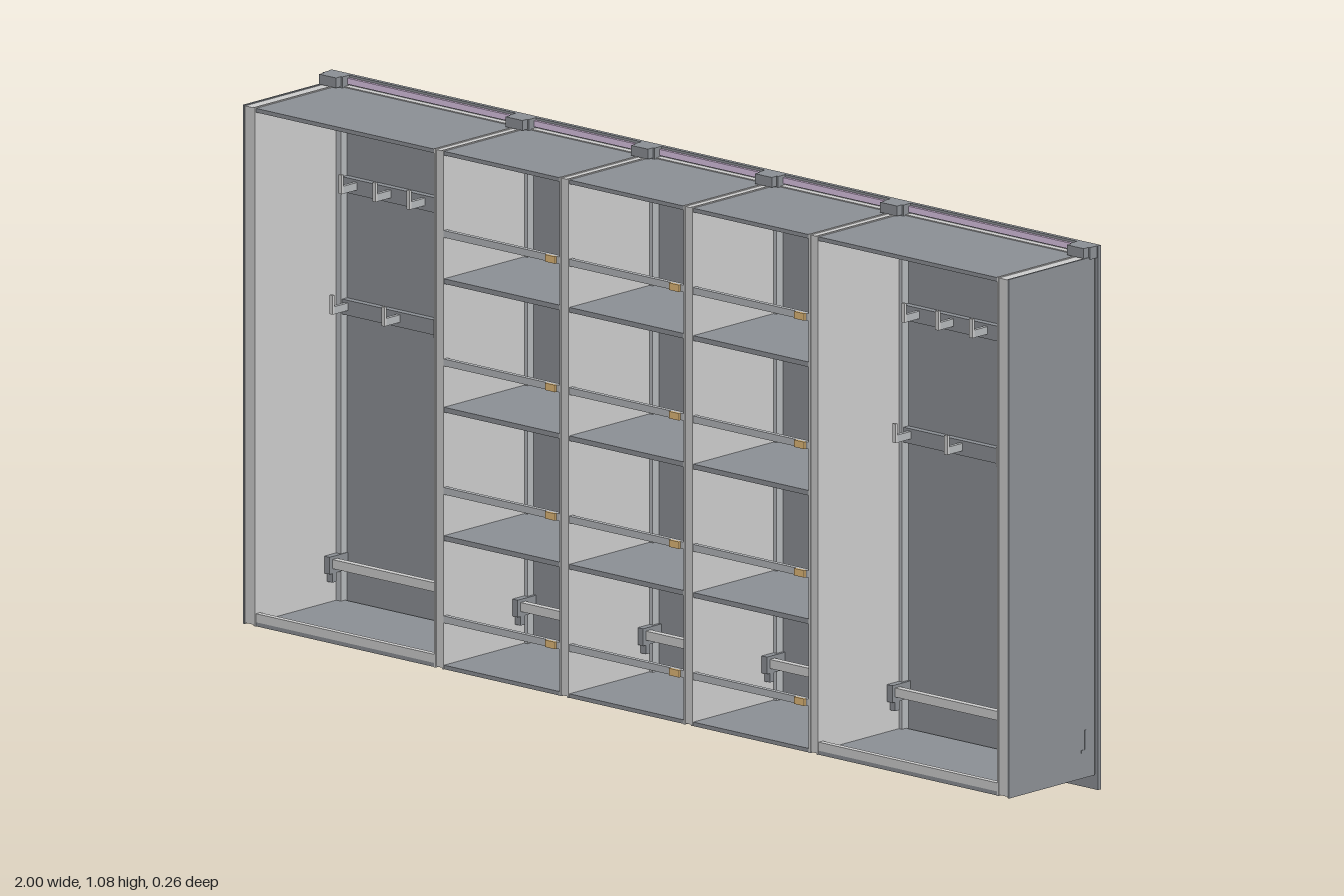
import * as THREE from 'three';

export function createModel() {
  const root = new THREE.Group();
  const paint = (color) => new THREE.MeshStandardMaterial({ color });
  const panel = paint(0x8b8f94);
  const liner = paint(0xe0e0e0);
  const metal = paint(0xb4b7ba);
  const bright = paint(0xf2f2f2);
  const tan = paint(0xe0b878);
  const lilac = paint(0xdcc4e4);

  // Box given by its min/max extents on each axis
  function box(name, x0, x1, y0, y1, z0, z1, material, parent = root) {
    const mesh = new THREE.Mesh(new THREE.BoxGeometry(x1 - x0, y1 - y0, z1 - z0), material);
    mesh.position.set((x0 + x1) / 2, (y0 + y1) / 2, (z0 + z1) / 2);
    mesh.name = name;
    parent.add(mesh);
  }

  function group(name) {
    const g = new THREE.Group();
    g.name = name;
    root.add(g);
    return g;
  }

  const BACK = -0.122, CARCASS = -0.116, FRONT = 0.127, BOTTOM = 0.03, TOP = 1.06;
  const uprights = [-0.98, -0.487, -0.161, 0.161, 0.487, 0.98];

  // Wall panel with a top rail and a light strip above it
  box('wallPanel', -1, 1, 0, 1.08, -0.131, BACK, panel);
  box('topRail', -0.97, 0.97, 1.05, 1.06, BACK, -0.108, bright);
  box('lightStrip', -0.97, 0.97, 1.063, 1.075, BACK, -0.116, lilac);

  // Uprights: core between two skins, plus a wall post with a cap
  uprights.forEach((x, i) => {
    const upright = group('upright');
    const outer = i === 0 || i === 5;
    const half = outer ? 0.016 : 0.012, skin = 0.004;
    box('uprightCore', x - half + skin, x + half - skin, BOTTOM + 0.002, TOP - 0.002, CARCASS, FRONT - 0.002, liner, upright);
    for (const s of [-1, 1]) {
      const xs = x + s * (half - skin / 2);
      const outside = outer && s === Math.sign(x);
      box('uprightSkin', xs - skin / 2, xs + skin / 2, BOTTOM, TOP, CARCASS, FRONT, outside ? panel : liner, upright);
      // Bracket end showing on the outer face
      if (outside) {
        const xo = x + s * half;
        box('bracketEnd', xo - 0.001, xo + 0.001, 0.08, 0.125, -0.094, -0.088, panel, upright);
        box('bracketEnd', xo - 0.001, xo + 0.001, 0.08, 0.086, -0.088, -0.078, panel, upright);
      }
    }
    const px = THREE.MathUtils.clamp(x, -0.972, 0.972);
    box('wallPost', px - 0.02, px + 0.02, BOTTOM, TOP, BACK, -0.104, metal, upright);
    box('postCap', px - 0.026, px + 0.026, 1.056, 1.08, BACK, -0.102, panel, upright);
    box('capLip', px - 0.022, px + 0.022, 1.06, 1.08, -0.102, -0.088, panel, upright);
  });

  // Wall rail spanning a bay, held by an L bracket at both ends
  function bottomRail(x0, x1) {
    const rail = group('bottomRail');
    box('railBar', x0, x1, 0.108, 0.126, -0.092, -0.078, bright, rail);
    for (const [x, s] of [[x0, 1], [x1, -1]]) {
      const xa = Math.min(x, x + s * 0.014), xb = Math.max(x, x + s * 0.014);
      box('bracketPlate', xa, xb, 0.098, 0.132, BACK, -0.07, panel, rail);
      box('bracketFoot', xa, xb, 0.08, 0.098, -0.09, -0.078, panel, rail);
    }
  }

  // Rail with upright hooks
  function hookRail(x0, x1, y, hooks) {
    const rail = group('hookRail');
    box('railBar', x0, x1, y, y + 0.03, BACK, -0.108, panel, rail);
    for (const t of hooks) {
      const x = x0 + (x1 - x0) * t;
      box('hookArm', x - 0.004, x + 0.004, y + 0.01, y + 0.025, -0.108, -0.07, metal, rail);
      box('hookTip', x - 0.004, x + 0.004, y + 0.01, y + 0.048, -0.07, -0.064, bright, rail);
    }
  }

  // Bays between neighbouring uprights
  for (let i = 0; i < 5; i++) {
    const x0 = uprights[i] + (i === 0 ? 0.016 : 0.012);
    const x1 = uprights[i + 1] - (i === 4 ? 0.016 : 0.012);
    box('topPanel', x0, x1, 1.05, 1.058, -0.108, FRONT - 0.002, panel);
    box('floorPanel', x0, x1, BOTTOM, 0.038, CARCASS, FRONT - 0.002, panel);
    bottomRail(x0, x1);

    if (i === 0 || i === 4) {
      // Wardrobe bays
      box('frontSill', x0, x1, 0.038, 0.055, 0.113, FRONT - 0.002, bright);
      hookRail(x0, x1, 0.85, [0.1, 0.29, 0.48, 0.68, 0.88]);
      hookRail(x0, x1, 0.607, [0.05, 0.34, 0.63, 0.93]);
    } else {
      // Shelf bays: each shelf has a front retaining bar with a tab at its end
      for (let k = 0; k < 4; k++) {
        const y = 0.035 + k * 0.255;
        if (k > 0) box('shelf', x0, x1, y - 0.005, y + 0.005, CARCASS, FRONT - 0.002, panel);
        box('retainingBar', x0, x1, y + 0.087, y + 0.101, 0.116, FRONT - 0.001, metal);
        box('barTab', x1 - 0.034, x1 - 0.008, y + 0.087, y + 0.101, FRONT - 0.001, 0.131, tan);
      }
    }
  }
  return root;
}
